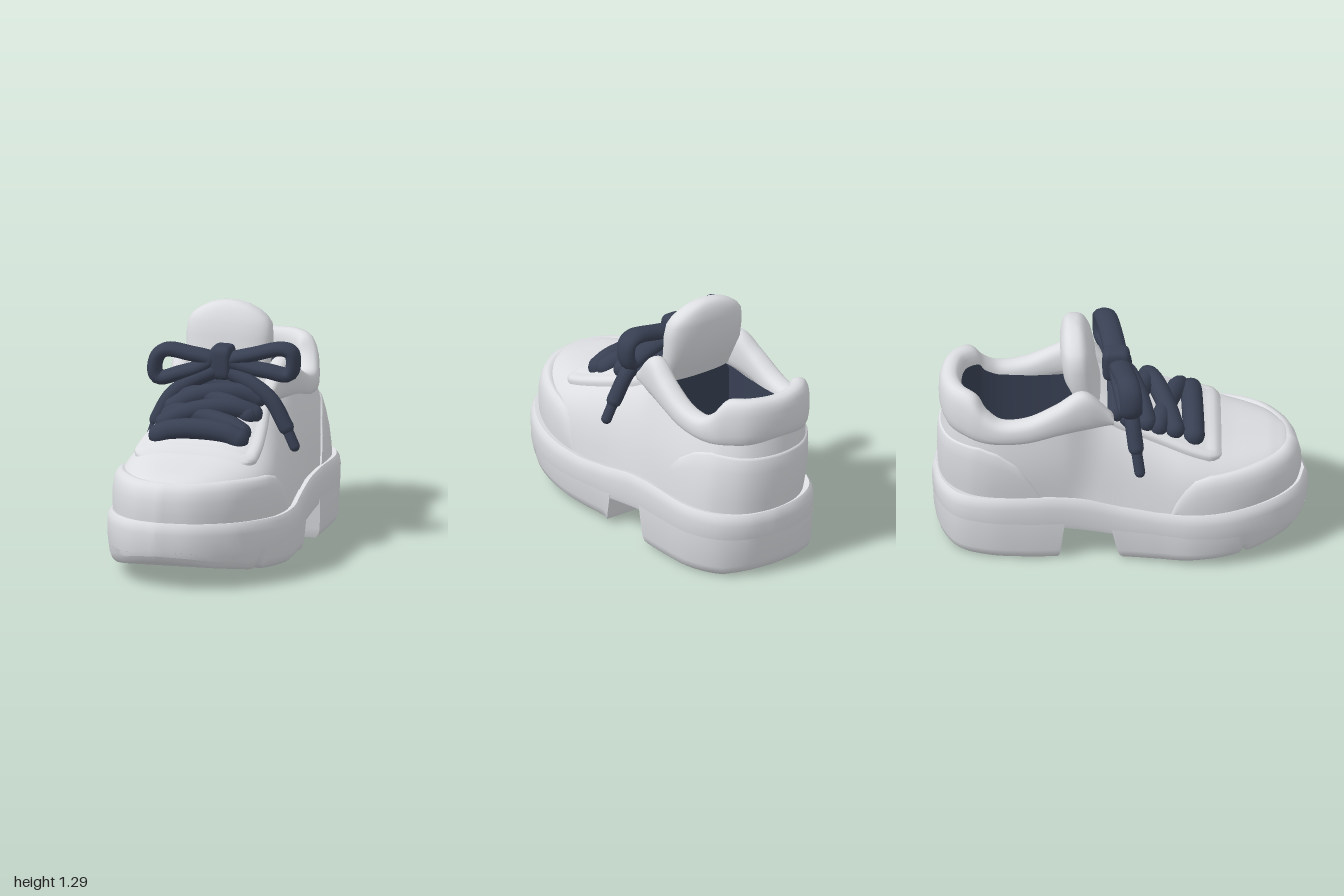
import * as THREE from 'three';
import { toCreasedNormals } from 'three/addons/utils/BufferGeometryUtils.js';

const V = (x, y, z) => new THREE.Vector3(x, y, z);
const range = (n) => Array.from({ length: n + 1 }, (_, i) => i / n);
const { clamp, lerp, smoothstep } = THREE.MathUtils;
const bend = (v, e) => Math.sign(v) * Math.pow(Math.abs(v), e);

// piecewise linear table lookup, keys descending
function lookup(table, z) {
  if (z >= table[0][0]) return table[0][1];
  for (let i = 1; i < table.length; i++) {
    const [z0, a] = table[i - 1], [z1, b] = table[i];
    if (z >= z1) return a + (b - a) * (z0 - z) / (z0 - z1);
  }
  return table[table.length - 1][1];
}

// skin over rows of points; closed wraps each row, caps fill the first and last rows
function skin(rows, { closed = false, capStart = false, capEnd = false, crease = 0.8 } = {}) {
  const pos = [], idx = [], m = rows[0].length;
  rows.forEach((r) => r.forEach((p) => pos.push(p.x, p.y, p.z)));
  for (let i = 0; i < rows.length - 1; i++) {
    for (let j = 0; j < (closed ? m : m - 1); j++) {
      const a = i * m + j, b = i * m + (j + 1) % m;
      idx.push(a, a + m, b, b, a + m, b + m);
    }
  }
  const cap = (o, flip) => {
    for (let j = 0; j < m / 2 - 1; j++) {
      const a = o + j, b = o + j + 1, c = o + m - 1 - j, d = o + m - 2 - j;
      idx.push(...(flip ? [a, c, b, b, c, d] : [a, b, c, b, d, c]));
    }
  };
  if (capStart) cap(0, false);
  if (capEnd) cap((rows.length - 1) * m, true);
  const g = new THREE.BufferGeometry();
  g.setAttribute('position', new THREE.Float32BufferAttribute(pos, 3));
  g.setIndex(idx);
  return toCreasedNormals(g, crease);
}

// sole outline, toe to heel on each side
const outline = (pts) => new THREE.CatmullRomCurve3(pts.map(([x, z]) => V(x, 0, z)));
const rightSide = outline([[-.08, 1], [.1, .965], [.22, .9], [.34, .79], [.44, .6], [.48, .4], [.47, .2], [.44, 0],
  [.43, -.2], [.43, -.5], [.41, -.72], [.33, -.88], [.2, -.97], [.04, -1]]);
const leftSide = outline([[-.08, 1], [-.22, .965], [-.32, .89], [-.4, .78], [-.47, .6], [-.485, .4], [-.44, .2], [-.4, 0],
  [-.385, -.2], [-.39, -.5], [-.37, -.72], [-.3, -.88], [-.15, -.97], [.04, -1]]);
function paramAt(curve, z) {
  let lo = 0, hi = 1;
  for (let i = 0; i < 22; i++) {
    const mid = (lo + hi) / 2;
    if (curve.getPoint(mid).z > z) lo = mid; else hi = mid;
  }
  return (lo + hi) / 2;
}
const soleTop = (z) => lookup([[1, .375], [.8, .36], [.5, .335], [.2, .32], [0, .335], [-.2, .375], [-.4, .39], [-1, .365]], z);
const soleBottom = (x, z) => lookup([[1, .145], [.9, .105], [.72, .065], [.69, .065], [.67, .095], [.65, .055], [.5, .04],
  [.3, .02], [0, .005], [-.9, .005], [-1, .03]], z) + (z > 0 ? .02 * (x + .48) : 0);

// closed ring of the outline between two z positions
function ring(z0, z1, inset, yAt, n = 56) {
  const side = (c) => {
    const a = paramAt(c, z0), b = paramAt(c, z1);
    return range(n).map((u) => {
      const p = c.getPoint(a + (b - a) * u);
      return V(p.x * (1 - 2 * inset), yAt(p.x, p.z), p.z * (1 - inset));
    });
  };
  return [...side(rightSide), ...side(leftSide).reverse()];
}

// vamp cross-section point: angle a runs from the +x side over the top
const vampTop = (z) => lookup([[.957, .5], [.93, .545], [.88, .578], [.8, .6], [.6, .632], [.5, .655], [.4, .69], [.2, .77],
  [0, .85], [-.12, .92], [-.25, .98]], z);
const E = .63, FIT = { right: .9, left: .945, z: .957 };
const footX = (curve, z, fit) => curve.getPoint(paramAt(curve, z / FIT.z)).x * fit;
function vamp(z, a, off = 0) {
  const L = footX(leftSide, z, FIT.left), R = footX(rightSide, z, FIT.right);
  const s = clamp((.5 - z) / .7, 0, 1), b = soleTop(z) - .03;
  const v = Math.pow(Math.max(0, Math.sin(a)), E);
  const x = (L + R) / 2 + bend(Math.cos(a), E) * ((R - L) / 2 + off) * (1 - .2 * v * s) - .05 * v * v * s;
  return V(x, b + (vampTop(z) - b + off) * v, z);
}
function onVamp(x, z, lift) {
  let lo = 0, hi = Math.PI;
  for (let i = 0; i < 20; i++) {
    const mid = (lo + hi) / 2;
    if (vamp(z, mid, lift).x > x) lo = mid; else hi = mid;
  }
  return vamp(z, lo, lift);
}

// collar stations: x, z, top, bottom, and matching wall foot x, z
const COLLAR = [[.215, -.04, .87, .81], [.235, -.2, 1.02, .79], [.255, -.34, .945, .77], [.26, -.5, .865, .73],
  [.25, -.64, .85, .715], [.23, -.72, .9, .71], [.2, -.785, .985, .715], [.12, -.87, 1, .73], [-.035, -.905, .995, .75]];
const FOOT = [[.38, -.05], [.385, -.2], [.39, -.35], [.385, -.5], [.37, -.64], [.35, -.73], [.31, -.81], [.19, -.915], [.02, -.953]];
const mirrored = (a, cx) => [...a, ...a.slice(0, -1).reverse().map(([x, ...r]) => [2 * cx - x, ...r])];
const collarTop = new THREE.CatmullRomCurve3(mirrored(COLLAR, -.035).map((p) => V(p[0], p[2], p[1])));
const collarLow = new THREE.CatmullRomCurve3(mirrored(COLLAR, -.035).map((p) => V(p[0], p[3], p[1])));
const footPath = new THREE.CatmullRomCurve3(mirrored(FOOT, .02).map(([x, z]) => V(x, 0, z)));
function station(u) {
  const top = collarTop.getPoint(u), foot = footPath.getPoint(u), t = collarTop.getTangent(u);
  foot.y = soleTop(foot.z) - .03;
  return { top, low: collarLow.getPoint(u).y, foot, n: V(-t.z, 0, t.x).normalize() };
}
// wall between foot and collar, easing into the vamp surface at the front
function wallPoint(u, t, off = 0) {
  const { top, low, foot, n } = station(u);
  const head = V(top.x, low + Math.min(.06, (top.y - low) / 2), top.z).addScaledVector(n, .03);
  const p = foot.lerp(head, t).addScaledVector(n, off + .02 * Math.sin(Math.PI * t));
  const b = soleTop(p.z) - .03, v = clamp((p.y - b) / (vampTop(p.z) - b), 0, .95);
  const a = Math.asin(Math.pow(v, 1 / E));
  p.x = lerp(p.x, vamp(p.z, u < .5 ? a : Math.PI - a, .003).x, smoothstep(p.z, -.3, -.08));
  return p;
}

export function createModel() {
  const grey = new THREE.MeshStandardMaterial({ color: 0xdcdee2, side: THREE.DoubleSide });
  grey.name = 'pale grey';
  const navy = new THREE.MeshStandardMaterial({ color: 0x384053, side: THREE.DoubleSide });
  navy.name = 'dark navy';
  const shoe = new THREE.Group();
  shoe.name = 'shoe';
  const add = (name, geo, mat, parent = shoe) => {
    const m = new THREE.Mesh(geo, mat);
    m.name = name;
    parent.add(m);
    return m;
  };

  // sole: band, arch roof, and forefoot and heel treads with sloped arch walls
  const mid = (x, z) => Math.max(lookup([[0, .16], [-.3, .2], [-.5, .2]], z), soleBottom(x, z) + .04);
  add('soleBand', skin([
    ring(1, -1, .012, mid), ring(1, -1, .003, (x, z) => mid(x, z) + .03),
    ring(1, -1, 0, (x, z) => soleTop(z) - .06), ring(1, -1, .006, (x, z) => soleTop(z) - .02),
    ring(1, -1, .022, (x, z) => soleTop(z)), ring(1, -1, .07, (x, z) => soleTop(z) - .01),
  ], { closed: true, crease: 1 }), grey);
  add('archRoof', skin([ring(-.03, -.33, .012, mid)], { capEnd: true }), grey);
  const TREADS = { forefootTread: [[1, -.05], [1, -.02], [1, -.005], [1, .01]], heelTread: [[-.3, -1], [-.325, -1], [-.335, -1], [-.35, -1]] };
  const insets = [.003, .012, .024, .045];
  const heights = [(x, z) => mid(x, z) + .03, (x, z) => soleBottom(x, z) + .055, (x, z) => soleBottom(x, z) + .02, soleBottom];
  for (const [name, spans] of Object.entries(TREADS)) {
    add(name, skin(spans.map(([z0, z1], i) => ring(z0, z1, insets[i], heights[i])), { closed: true, capEnd: true }), grey);
  }

  // vamp with a dark end wall under the tongue
  const zRows = range(44).map((u) => .957 - 1.157 * (1 - Math.cos(u * Math.PI / 2)));
  const tuck = (z) => -.03 * clamp((-.08 - z) / .12, 0, 1);
  add('vamp', skin(zRows.map((z) => range(40).map((u) => vamp(z, u * Math.PI, tuck(z)))), { crease: 1 }), grey);
  const endArch = range(41).map((u) => vamp(-.2, u * Math.PI, -.045));
  add('vampLining', skin([endArch], { capEnd: true }), navy);

  // toe guard: band around the toe, rolled inward at its top edge (scale, height fraction)
  const guardY = (z) => lookup([[.95, .575], [.8, .575], [.5, .55], [.4, .525], [.33, .47], [.29, .4], [.26, .31]], z);
  const guardFoot = [[rightSide, FIT.right], [leftSide, FIT.left]].map(([c, fit]) => {
    const end = paramAt(c, .26 / FIT.z);
    return range(36).map((u) => c.getPoint(end * u)).map((p) => V(p.x * fit, 0, p.z * FIT.z));
  });
  const guardLine = [...guardFoot[0].reverse(), ...guardFoot[1].slice(1)];
  const GUARD = [[1.0, 0], [1.01, .3], [1.006, .6], [.992, .8], [.965, .94], [.93, 1], [.9, 1], [.87, .95]];
  add('toeGuard', skin(GUARD.map(([s, f]) => guardLine.map((p) => {
    const b = soleTop(p.z) - .03;
    return V(p.x * s, b + (guardY(p.z) - b) * f, .2 + (p.z - .2) * s);
  })), { crease: 1 }), grey);

  // raised lace panel
  add('lacePanel', skin(range(28).map((r) => {
    const half = .74 * Math.min(1, .66 + Math.sqrt(r) * 1.1);
    return range(32).map((u) => {
      const k = Math.abs(2 * u - 1);
      const rim = k > .97 || r === 0 ? -.012 : k > .9 || r < .05 ? .014 : k > .7 || r < .1 ? .026 : .016;
      return vamp(.55 - .74 * r, Math.PI / 2 + (2 * u - 1) * half, rim);
    });
  }), { crease: 1 }), grey);

  // quarters, heel counter, padded collar, lining and insole
  const us = range(96);
  add('quarters', skin(range(10).map((t) => us.map((u) => wallPoint(u, t))), { crease: 1 }), grey);
  const counterY = (z) => lookup([[-.43, .38], [-.47, .47], [-.55, .59], [-.65, .66], [-.75, .685], [-1, .67]], z);
  add('heelCounter', skin([0, .25, .5, .75, .97, 1, 1.02].map((k, i) => range(60).map((w) => {
    const u = (2.5 + 11 * w) / 16, { foot, low } = station(u);
    const t = clamp((counterY(foot.z) - foot.y) / (low + .06 - foot.y), .02, .95);
    return wallPoint(u, k * t, i < 5 ? .01 : i < 6 ? .006 : -.012);
  }))), grey);
  add('collar', skin(us.map((u) => {
    const { top, low, n } = station(u), h = (top.y - low) / 2;
    const w = lerp(.035, .06, smoothstep(-top.z, .04, .2));
    return range(19).map((q) => {
      const a = q * 19 / 20 * Math.PI * 2;
      const p = V(top.x, low + h, top.z).addScaledVector(n, w * bend(Math.cos(a), .75));
      p.y += h * bend(Math.sin(a), .75);
      return p;
    });
  }), { closed: true, capStart: true, capEnd: true, crease: 1.2 }), grey);
  const inner = (y) => us.map((u) => {
    const { top, low, n } = station(u);
    const rise = lerp(.15, .68, smoothstep(-top.z, .3, .65));
    return V(top.x, y ?? low + rise * (top.y - low), top.z).addScaledVector(n, -.062);
  });
  add('lining', skin([inner(), inner(.6), inner(.46)], { capEnd: true }), navy);

  // tongue: y, z, half width, half thickness
  const TONGUE = [[.84, -.15, .215, .065], [.92, -.18, .222, .078], [1.02, -.215, .235, .09], [1.12, -.226, .238, .092],
    [1.19, -.235, .23, .085], [1.225, -.24, .205, .076], [1.255, -.243, .165, .064], [1.28, -.246, .115, .05],
    [1.295, -.248, .06, .032], [1.3, -.25, .012, .01]];
  add('tongue', skin(TONGUE.map(([y, z, w, d]) => range(31).map((q) => {
    const a = q * 31 / 32 * Math.PI * 2;
    return V(-.05 + w * bend(Math.cos(a), .75), y, z + d * bend(Math.sin(a), .75));
  })), { closed: true, capEnd: true, crease: 1.2 }), grey);

  // laces: front bar and crossing strands that follow the vamp, with rounded ends
  const laces = new THREE.Group();
  laces.name = 'laces';
  shoe.add(laces);
  const cord = (name, pts, r, closed = false) => {
    for (const p of closed ? [] : [pts[0], pts[pts.length - 1]]) add(name + 'End', new THREE.SphereGeometry(r, 12, 8), navy, laces).position.copy(p);
    return add(name, new THREE.TubeGeometry(new THREE.CatmullRomCurve3(pts, closed), 48, r, 12, closed), navy, laces);
  };
  const STRANDS = [[-.25, .39, .19, .38, .052], [-.25, .2, .19, .32, .035], [.2, .15, -.25, .29, .06],
    [-.25, .04, .18, .17, .035], [.18, .02, -.25, .14, .055], [-.24, -.02, .18, -.02, .035]];
  STRANDS.forEach(([x0, z0, x1, z1, lift], i) => {
    const pts = range(8).map((u) => onVamp(x0 + (x1 - x0) * u, z0 + (z1 - z0) * u, .03 + (lift - .03) * Math.sin(Math.PI * u)));
    for (const [p, q] of [[pts[0], pts[1]], [pts[8], pts[7]]]) p.y = Math.min(p.y, q.y - .025);
    cord(i ? 'crossLace' : 'frontLace', pts, i ? .052 : .058);
  });

  // bow: flattened loops, knot and hanging tails
  const K = 1.6;
  const bowLoop = (name, pts) => { cord(name, pts.map(([x, y, z]) => V(x, y, z / K)), .039, true).scale.z = K; };
  bowLoop('leftBowLoop', [[.02, 1.03, -.02], [.15, 1.07, -.04], [.29, 1.1, -.07], [.34, 1.08, -.08], [.348, 1.0, -.08],
    [.325, .96, -.075], [.22, .978, -.05], [.1, 1.0, -.03]]);
  bowLoop('rightBowLoop', [[-.08, 1.03, 0], [-.2, 1.062, .02], [-.32, 1.078, .04], [-.365, 1.045, .05], [-.38, .96, .055],
    [-.355, .925, .05], [-.25, .953, .03], [-.14, .99, .01]]);
  const knot = new THREE.SphereGeometry(1, 24, 16), kp = knot.attributes.position;
  for (let i = 0; i < kp.count; i++) kp.setXYZ(i, bend(kp.getX(i), .45) * .06, bend(kp.getY(i), .45) * .092, bend(kp.getZ(i), .45) * .075);
  knot.computeVertexNormals();
  add('knot', knot, navy, laces).position.set(-.025, 1.02, -.02);
  const TAILS = { leftTail: [[.02, .97, 0], [.15, .92, .02], [.26, .84, .025], [.345, .7, .03], [.393, .6, .035]],
    rightTail: [[-.07, .97, .02], [-.19, .91, .04], [-.29, .83, .06], [-.36, .7, .08], [-.4, .57, .1]] };
  for (const [name, pts] of Object.entries(TAILS)) {
    const p = pts.map((q) => V(...q));
    cord(name, p.slice(0, 4), .042);
    cord(name + 'Tip', [p[3], p[4]], .029);
  }
  return shoe;
}
